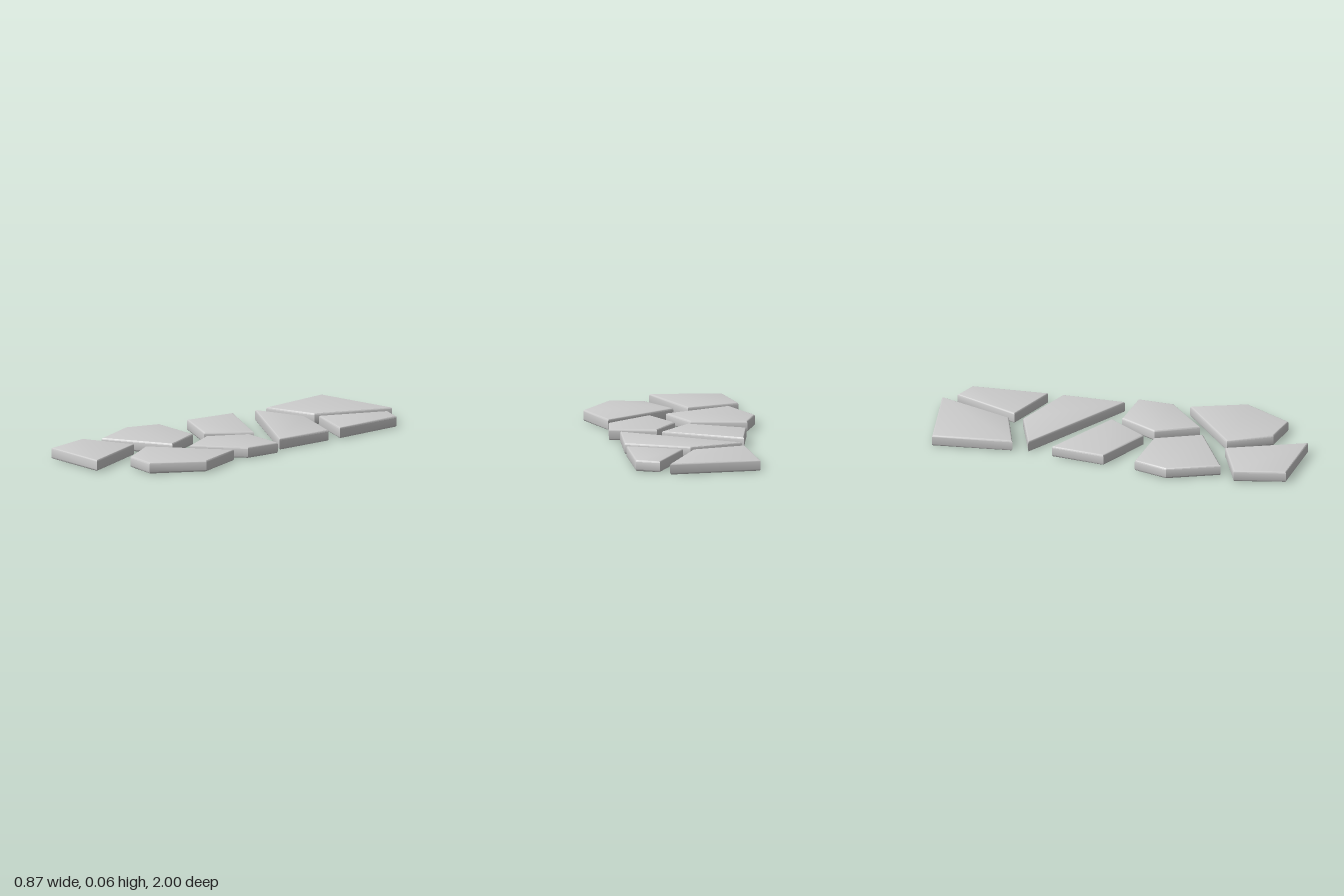
import * as THREE from 'three';
import { toCreasedNormals } from 'three/addons/utils/BufferGeometryUtils.js';

const HEIGHT = 0.06;
const BEVEL = 0.01;

// Outline of each paving stone as [x, z] corners, from back to front
const STONES = [
  [[-0.23, -0.975], [0.26, -1.0], [0.065, -0.61], [-0.225, -0.545]],
  [[0.3, -0.925], [0.42, -0.865], [0.395, -0.455], [0.115, -0.59]],
  [[-0.225, -0.46], [0.066, -0.535], [0.39, -0.375], [0.352, -0.037]],
  [[-0.26, -0.328], [0.135, -0.072], [-0.04, 0.127], [-0.325, -0.042]],
  [[0.15, -0.02], [0.4, 0.027], [0.368, 0.222], [0.114, 0.404], [0.019, 0.175]],
  [[-0.362, 0.132], [-0.066, 0.185], [0.02, 0.435], [-0.347, 0.59], [-0.436, 0.312]],
  [[0.352, 0.312], [0.431, 0.608], [0.251, 0.854], [0.066, 0.806], [-0.045, 0.573]],
  [[-0.124, 0.577], [0.006, 1.0], [-0.378, 0.944], [-0.412, 0.669]],
];

// Flat slab with rounded upper and lower edges, standing on y = 0
function slabGeometry(outline) {
  const shape = new THREE.Shape(outline.map(([x, z]) => new THREE.Vector2(x, -z)));
  const geometry = new THREE.ExtrudeGeometry(shape, {
    depth: HEIGHT - 2 * BEVEL,
    bevelEnabled: true,
    bevelSize: BEVEL,
    bevelThickness: BEVEL,
    bevelOffset: -BEVEL,
    bevelSegments: 3,
  });
  geometry.rotateX(-Math.PI / 2);
  geometry.translate(0, BEVEL, 0);
  return toCreasedNormals(geometry, 0.6);
}

export function createModel() {
  const group = new THREE.Group();
  group.name = 'stonePath';
  const material = new THREE.MeshStandardMaterial({ color: 0xcccccc });
  STONES.forEach((outline, i) => {
    const stone = new THREE.Mesh(slabGeometry(outline), material);
    stone.name = `pavingStone${i + 1}`;
    group.add(stone);
  });
  return group;
}
